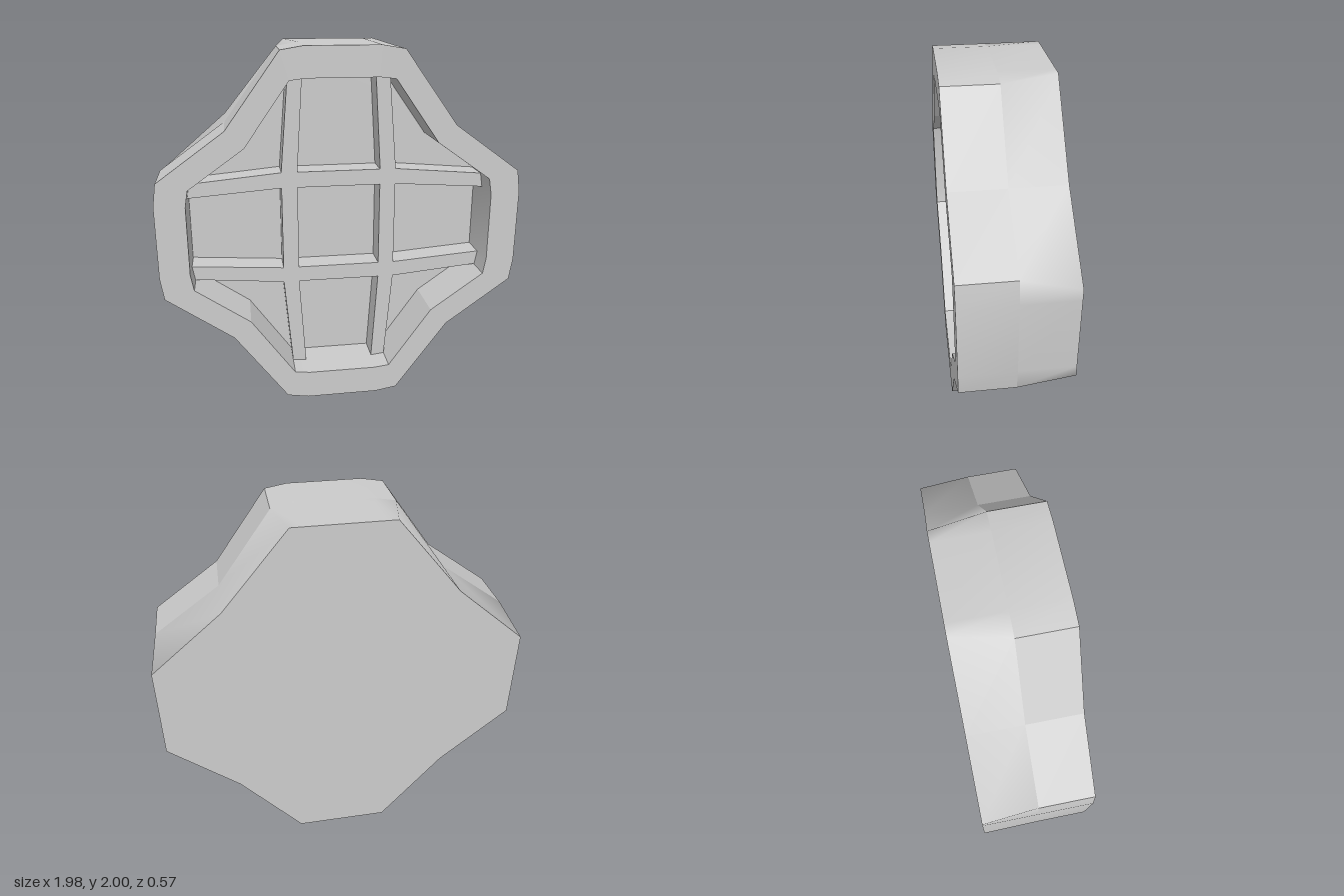
import * as THREE from 'three';
import { toCreasedNormals } from 'three/addons/utils/BufferGeometryUtils.js';

const HALF = 0.287;      // half of the thickness
const RIB_TOP = 0.145;   // ribs stop short of the rim
const material = new THREE.MeshStandardMaterial({ color: 0xcccccc });

// Mirrors the points of one quadrant (top to side) into a closed counterclockwise ring
function ring(quadrant) {
  const pts = quadrant.map(([x, y]) => new THREE.Vector2(x, y));
  const rev = [...pts].reverse();
  const flip = (list, sx, sy) => list.map(p => new THREE.Vector2(p.x * sx, p.y * sy));
  return [...rev, ...flip(pts, -1, 1), ...flip(rev, -1, -1), ...flip(pts, 1, -1)];
}

const extrude = (shape, depth) =>
  new THREE.ExtrudeGeometry(shape, { depth, bevelEnabled: false });

function part(name, geometry, crease) {
  const mesh = new THREE.Mesh(toCreasedNormals(geometry, crease), material);
  mesh.name = name;
  return mesh;
}

export function createModel() {
  const group = new THREE.Group();
  group.name = 'ribbedPlate';

  const outer = ring([[0.2, 1], [0.32, 0.98], [0.61, 0.583], [0.972, 0.323], [0.99, 0.2]]);
  const inner = ring([[0.19, 0.84], [0.275, 0.83], [0.515, 0.49], [0.812, 0.28], [0.828, 0.19]]);

  // Rear slab: its corners slide towards the flat sides at the back
  const slab = extrude(new THREE.Shape(outer), HALF).translate(0, 0, -HALF);
  const pos = slab.attributes.position;
  for (let i = 0; i < pos.count; i++) {
    if (pos.getZ(i) > -0.01) continue;
    const x = pos.getX(i), y = pos.getY(i);
    if (Math.abs(Math.abs(y) - 0.98) < 0.005) pos.setXY(i, Math.sign(x) * 0.26, Math.sign(y));
    if (Math.abs(Math.abs(x) - 0.972) < 0.005) pos.setXY(i, Math.sign(x) * 0.99, Math.sign(y) * 0.26);
  }
  group.add(part('rearSlab', slab, 1.0));

  // Front rim around the recess
  const rim = new THREE.Shape(outer);
  rim.holes.push(new THREE.Path(inner));
  group.add(part('frontRim', extrude(rim, HALF), 0.2));

  // Rib grid: a plate with nine openings, its border hidden inside the rim
  const grid = new THREE.Shape(inner.map(p => p.clone().multiplyScalar(1.06)));
  const k = 1.03;
  const hole = pts => grid.holes.push(new THREE.Path(pts.map(([x, y]) => new THREE.Vector2(x, y))));
  hole([[-0.23, -0.235], [0.23, -0.235], [0.23, 0.235], [-0.23, 0.235]]);
  for (const s of [-1, 1]) {
    hole([[-0.23, s * 0.322], [0.23, s * 0.322], [0.19 * k, s * 0.84 * k], [-0.19 * k, s * 0.84 * k]]);
    hole([[s * 0.318, -0.235], [s * 0.318, 0.235], [s * 0.828 * k, 0.19 * k], [s * 0.828 * k, -0.19 * k]]);
    for (const t of [-1, 1]) {
      hole([[0.318, 0.322], [0.812 * k, 0.275], [0.515 * k, 0.49 * k], [0.273, 0.83 * k]]
        .map(([x, y]) => [x * s, y * t]));
    }
  }
  group.add(part('ribGrid', extrude(grid, RIB_TOP), 0.2));

  group.position.y = 1;
  const root = new THREE.Group();
  root.add(group);
  return root;
}
